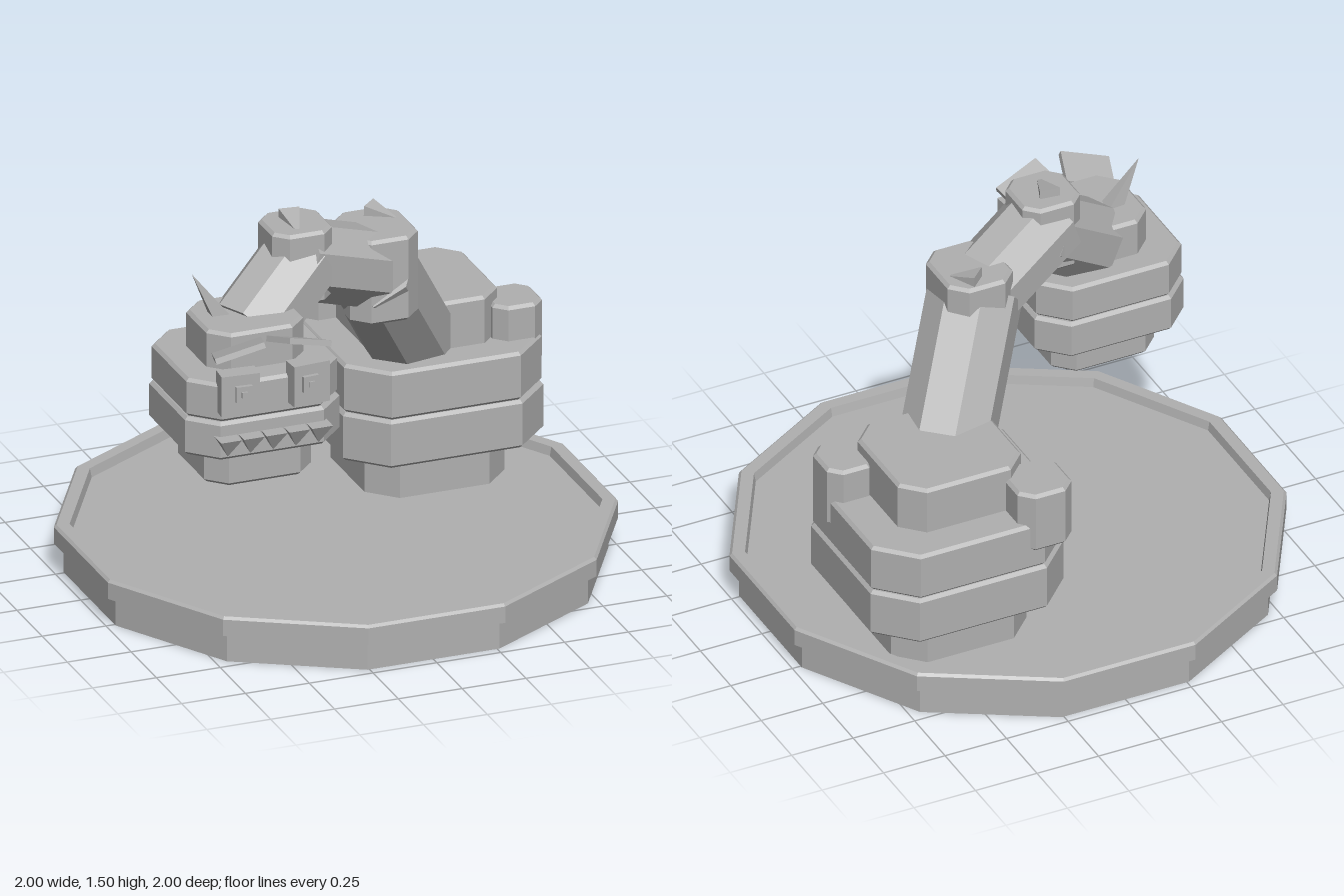
import * as THREE from 'three';

export function createModel() {
  const model = new THREE.Group();
  model.name = 'robotArm';
  const grey = new THREE.MeshStandardMaterial({ color: 0xb0b0b0 });
  grey.name = 'plain grey';

  // Gives every face its own normal
  const flat = (geometry) => {
    const g = geometry.index ? geometry.toNonIndexed() : geometry;
    g.computeVertexNormals();
    return g;
  };
  const add = (name, geometry, parent = model) => {
    const mesh = new THREE.Mesh(flat(geometry), grey);
    mesh.name = name;
    parent.add(mesh);
    return mesh;
  };

  // Upright block with cut corners and slightly bevelled rims
  const block = (name, [x0, x1], [y0, y1], [z0, z1], cut, bevel = 0.012) => {
    const a = (x1 - x0) / 2, b = (z1 - z0) / 2;
    const outline = [[a - cut, -b], [a, cut - b], [a, b - cut], [a - cut, b],
      [cut - a, b], [-a, b - cut], [-a, cut - b], [cut - a, -b]];
    const shape = new THREE.Shape(outline.map(([x, y]) => new THREE.Vector2(x, y)));
    const g = new THREE.ExtrudeGeometry(shape, {
      depth: y1 - y0 - 2 * bevel, bevelThickness: bevel, bevelSize: bevel,
      bevelOffset: -bevel, bevelSegments: 1,
    });
    g.translate(0, 0, bevel).rotateX(-Math.PI / 2);
    add(name, g).position.set((x0 + x1) / 2, y0, (z0 + z1) / 2);
  };

  // Prism or spike between two points
  const bar = (name, from, to, r0, r1, sides) => {
    const start = new THREE.Vector3(...from), end = new THREE.Vector3(...to);
    const g = new THREE.CylinderGeometry(r1, r0, start.distanceTo(end), sides);
    g.rotateY(Math.PI / sides).rotateX(Math.PI / 2);
    const mesh = add(name, g);
    mesh.position.copy(start).lerp(end, 0.5);
    mesh.lookAt(end);
  };

  // Twelve-sided stand with a raised rim
  const rim = [[0, 0], [1, 0], [1, 0.105], [1.035, 0.115], [1.035, 0.18],
    [1.025, 0.19], [0.977, 0.19], [0.97, 0.155], [0, 0.155]];
  add('stand', new THREE.LatheGeometry(
    rim.map(([x, y]) => new THREE.Vector2(x, y)), 12, Math.PI / 12));

  // Body on its foot
  block('bodyFoot', [0.19, 0.74], [0.14, 0.35], [-0.635, -0.1], 0.1);
  block('bodyLower', [0.075, 0.86], [0.33, 0.52], [-0.745, 0.015], 0.135);
  block('bodyUpper', [0.08, 0.855], [0.52, 0.71], [-0.74, 0.01], 0.135);
  block('bodyCap', [0.21, 0.71], [0.69, 0.895], [-0.61, -0.12], 0.08);
  block('bodyStud', [0.09, 0.31], [0.6, 0.845], [-0.755, -0.53], 0.05);
  block('bodyStud', [0.67, 0.865], [0.6, 0.845], [-0.305, -0.1], 0.045);

  // Arm sections and the joints between them
  bar('lowerArm', [0.41, 0.69, -0.27], [0.1, 1.19, 0.07], 0.178, 0.178, 8);
  bar('middleArm', [0.16, 1.155, 0.04], [-0.265, 1.33, 0.205], 0.155, 0.155, 8);
  bar('upperArm', [-0.2, 1.32, 0.18], [-0.47, 1.11, 0.305], 0.155, 0.155, 8);
  block('lowerJoint', [0, 0.265], [1, 1.335], [-0.1, 0.2], 0.06);
  block('upperJoint', [-0.355, -0.12], [1.18, 1.465], [0.075, 0.315], 0.05);

  // Spikes along the arm and on the head
  bar('lowerJointSpike', [0.15, 1.335, -0.06], [0.235, 1.33, 0.03], 0.055, 0, 4);
  bar('upperJointSpike', [-0.24, 1.46, 0.14], [-0.26, 1.455, 0.295], 0.055, 0, 4);
  bar('headSpike', [-0.58, 1.19, 0.33], [-0.695, 1.385, 0.33], 0.045, 0, 4);

  // Head
  block('chin', [-0.715, -0.295], [0.63, 0.79], [0.175, 0.57], 0.07);
  block('jaw', [-0.805, -0.2], [0.77, 0.92], [0.085, 0.64], 0.1);
  block('face', [-0.798, -0.207], [0.92, 1.07], [0.09, 0.635], 0.1);
  block('headCap', [-0.69, -0.31], [1.05, 1.215], [0.19, 0.53], 0.07);

  // Eyes and brows, mirrored about the middle of the face
  for (const side of [-1, 1]) {
    const eye = new THREE.Group();
    eye.name = side < 0 ? 'rightEye' : 'leftEye';
    eye.position.set(-0.502 + side * 0.137, 1.038, 0.645);
    eye.rotation.y = side * 0.08;
    add('eyePlate', new THREE.BoxGeometry(0.145, 0.16, 0.07), eye);
    add('iris', new THREE.BoxGeometry(0.062, 0.062, 0.03), eye)
      .position.set(-side * 0.01, 0.008, 0.035);
    add('pupil', new THREE.BoxGeometry(0.022, 0.022, 0.01), eye)
      .position.set(-side * 0.01, 0.008, 0.052);
    model.add(eye);

    const brow = add('brow', new THREE.BoxGeometry(0.19, 0.022, 0.145));
    brow.position.set(-0.502 + side * 0.118, 1.182, 0.605);
    brow.rotation.set(-0.28, side * 0.28, -side * 0.22);
  }

  // Row of pointed teeth
  for (let i = 0; i < 5; i++) {
    const tooth = new THREE.ConeGeometry(0.058, 0.075, 4);
    tooth.rotateY(Math.PI / 4).rotateX(Math.PI);
    add('tooth', tooth).position.set(-0.505 + (i - 2) * 0.089, 0.828, 0.655);
  }
  return model;
}
